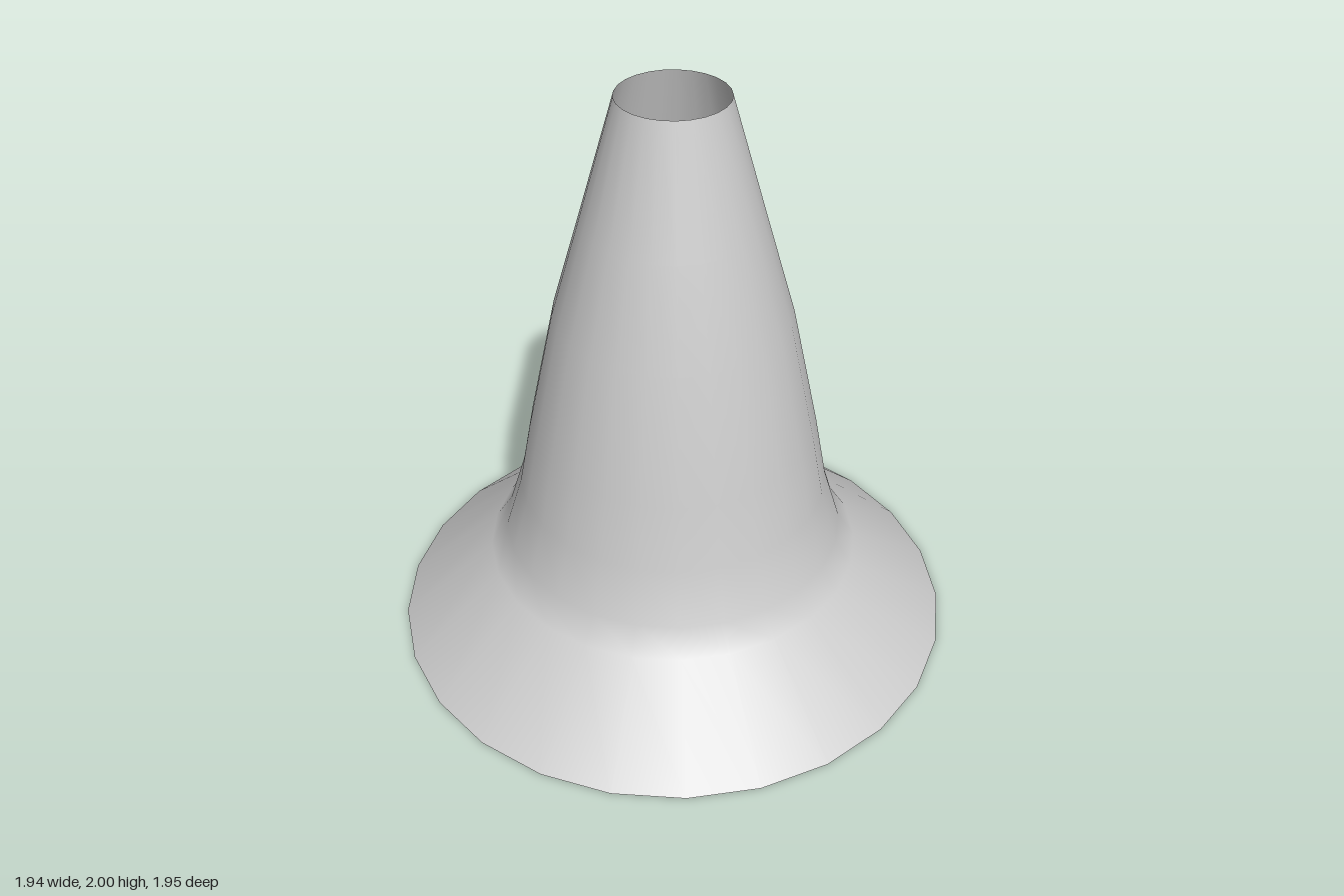
import * as THREE from 'three';

export function createModel() {
  const group = new THREE.Group();
  group.name = 'flaredCone';

  // Outer profile as [radius, height], from the flared rim up to the open top
  const profile = [
    [0.975, 0], [0.65, 0.29], [0.59, 0.38], [0.532, 0.57],
    [0.49, 0.8], [0.397, 1.24], [0.3, 1.58], [0.182, 2],
  ].map(([r, y]) => new THREE.Vector2(r, y));

  // Thin open shell with 25 sides, one corner pointing to -x
  const shell = new THREE.Mesh(
    new THREE.LatheGeometry(profile, 25, -Math.PI / 2),
    new THREE.MeshStandardMaterial({ color: 0xcccccc, side: THREE.DoubleSide }),
  );
  shell.name = 'coneShell';
  group.add(shell);

  return group;
}
